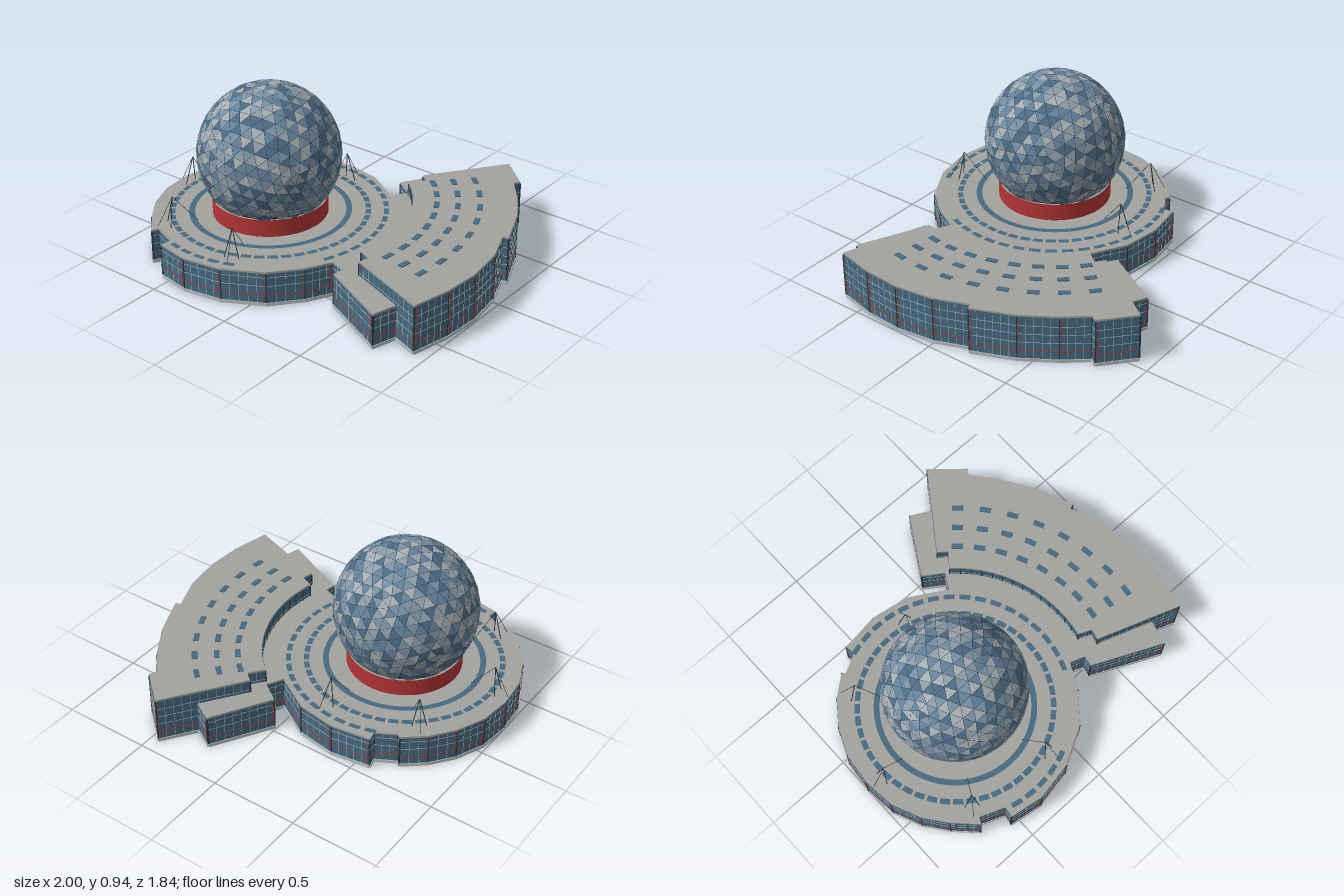
import * as THREE from 'three';
import { mergeGeometries } from 'three/addons/utils/BufferGeometryUtils.js';

const CX = -0.36, CZ = 0.22;              // centre of the round hall
const LOW = 0.2, HIGH = 0.28;             // roof heights
const BLUE = 0x45697f, ROOF = 0xa2a29e, RED = 0xb23434, PALE = 0xb4bcbe, DARK = 0x2c3a42;

const rad = THREE.MathUtils.degToRad;
const polar = (r, deg) => [CX + r * Math.cos(rad(deg)), CZ + r * Math.sin(rad(deg))];

function addMesh(group, name, geometry, color, options = {}) {
  const mesh = new THREE.Mesh(geometry, new THREE.MeshStandardMaterial({ color, ...options }));
  mesh.name = name;
  group.add(mesh);
  return mesh;
}

// Upright slab between two ground points
function bar(a, b, y0, y1, thickness) {
  const dx = b[0] - a[0], dz = b[1] - a[1];
  return new THREE.BoxGeometry(Math.hypot(dx, dz), y1 - y0, thickness)
    .rotateY(-Math.atan2(dz, dx))
    .translate((a[0] + b[0]) / 2, (y0 + y1) / 2, (a[1] + b[1]) / 2);
}

// Thin rod between two points in space
function rod(a, b, radius) {
  const from = new THREE.Vector3(...a), to = new THREE.Vector3(...b);
  return new THREE.TubeGeometry(new THREE.LineCurve3(from, to), 1, radius, 5);
}

// Flat roof slab from an [x, z] outline
function roofSlab(points, top) {
  const shape = new THREE.Shape(points.map(([x, z]) => new THREE.Vector2(x, -z)));
  return new THREE.ExtrudeGeometry(shape, { depth: 0.012, bevelEnabled: false })
    .rotateX(-Math.PI / 2).translate(0, top - 0.012, 0);
}

// Glazed facade along a path: plinth, glass, belts, mullions and corner posts
function facade(name, path, top) {
  const group = new THREE.Group();
  group.name = name;
  const glass = [], plinth = [], pale = [], red = [], dark = [];
  for (let i = 0; i < path.length - 1; i++) {
    const a = path[i], b = path[i + 1];
    const length = Math.hypot(b[0] - a[0], b[1] - a[1]);
    const at = t => [a[0] + (b[0] - a[0]) * t, a[1] + (b[1] - a[1]) * t];
    const post = (t, half, thickness) => {
      const k = half / length;
      return bar(at(t - k), at(t + k), 0.02, top - 0.012, thickness);
    };
    glass.push(bar(a, b, 0.015, top - 0.01, 0.004));
    plinth.push(bar(a, b, 0, 0.018, 0.012));
    red.push(bar(a, b, 0.063, 0.067, 0.008));
    for (let y = 0.115; y < top - 0.03; y += 0.05) pale.push(bar(a, b, y, y + 0.002, 0.007));
    const bays = Math.max(1, Math.round(length / 0.045));
    for (let j = 1; j < bays; j++) pale.push(post(j / bays, 0.001, 0.007));
    dark.push(post(0, 0.003, 0.01));
    if (length > 0.1) red.push(post(0.012 / length, 0.0015, 0.009));
  }
  addMesh(group, 'glassWalls', mergeGeometries(glass), BLUE);
  addMesh(group, 'plinth', mergeGeometries(plinth), PALE);
  addMesh(group, 'paleMullions', mergeGeometries(pale), PALE);
  addMesh(group, 'redTrim', mergeGeometries(red), RED);
  addMesh(group, 'cornerPosts', mergeGeometries(dark), DARK);
  return group;
}

// Curved skylight lying on the round roof
function arcStrip(r0, r1, startDeg, sweepDeg, y, segments) {
  return new THREE.RingGeometry(r0, r1, segments, 1, -rad(startDeg + sweepDeg), rad(sweepDeg))
    .rotateX(-Math.PI / 2).translate(CX, y, CZ);
}

// Faceted globe: separate triangular panels in several shades over a dark frame
function globe() {
  const group = new THREE.Group();
  group.name = 'globe';
  const R = 0.395, CY = 0.545, cut = 0.295 - CY;
  const shades = [0x4c6a82, 0x64809a, 0x7890a2, 0x8c9ca8, 0xa4adb2];
  const buckets = shades.map(() => []);
  const source = new THREE.IcosahedronGeometry(R, 6).rotateZ(0.2).rotateX(0.15).attributes.position;
  let seed = 11;
  const random = () => (seed = (seed * 16807) % 2147483647) / 2147483647;
  const corners = [0, 1, 2].map(() => new THREE.Vector3());
  const middle = new THREE.Vector3();
  for (let i = 0; i < source.count; i += 3) {
    corners.forEach((c, j) => c.fromBufferAttribute(source, i + j));
    middle.copy(corners[0]).add(corners[1]).add(corners[2]).divideScalar(3);
    const bucket = buckets[Math.floor(random() * shades.length)];
    if (middle.y < cut) continue;
    for (const c of corners) bucket.push(...c.lerp(middle, 0.05).toArray());
  }
  buckets.forEach((data, i) => {
    const g = new THREE.BufferGeometry();
    g.setAttribute('position', new THREE.Float32BufferAttribute(data, 3));
    g.computeVertexNormals();
    addMesh(group, 'globePanels' + (i + 1), g, shades[i], { flatShading: true, side: THREE.DoubleSide });
  });
  const inner = R - 0.005;
  addMesh(group, 'globeFrame',
    new THREE.SphereGeometry(inner, 48, 32, 0, Math.PI * 2, 0, Math.acos(cut / inner)), DARK);
  group.position.set(CX, CY, CZ);
  return group;
}

export function createModel() {
  const model = new THREE.Group();
  model.name = 'domedHall';

  // Outlines as [x, z] points
  const innerArc = [];
  for (let i = 0; i <= 14; i++) innerArc.push(polar(0.78, -50.4 + i * 62.8 / 14));
  const lowPath = [
    [0.78, 0.59], [0.74, 0.73], [0.35, 0.55], [0.36, 0.49], [0.275, 0.46], [0.2, 0.6],
    [0.07, 0.755], [-0.14, 0.87], [-0.36, 0.91], [-0.55, 0.88], [-0.54, 0.82], [-0.68, 0.765],
    [-0.7, 0.8], [-0.815, 0.685], [-0.91, 0.56], [-0.98, 0.4], [-1, 0.22], [-0.98, 0.04],
    [-0.91, -0.12], [-0.815, -0.245], [-0.7, -0.34], [-0.68, -0.325], [-0.57, -0.385],
    [-0.58, -0.44], [-0.36, -0.47], [-0.14, -0.435], [0.07, -0.31], [0.12, -0.4],
    [0.01, -0.475], [0.205, -0.8], [0.325, -0.735]];
  const wingPath = [
    ...innerArc, [0.475, 0.42], [0.46, 0.48], [0.927, 0.645], [0.975, 0.43], [0.99, 0.22],
    [0.96, 0], [0.887, -0.19], [0.917, -0.2], [0.82, -0.43], [0.705, -0.61], [0.6, -0.735],
    [0.62, -0.77], [0.45, -0.92], [0.15, -0.5], [0.2, -0.46]];

  // Walls, open underneath
  model.add(facade('roundHallWalls', lowPath, LOW));
  model.add(facade('fanWingWalls', [...wingPath, wingPath[0]], HIGH));

  // Roofs
  const lowRoof = [...lowPath, [0.15, -0.5], [0.2, -0.46], ...innerArc, [0.475, 0.42], [0.46, 0.48]];
  addMesh(model, 'roundHallRoof', roofSlab(lowRoof, LOW), ROOF);
  addMesh(model, 'fanWingRoof', roofSlab(wingPath, HIGH), ROOF);

  // Ring skylights on the round roof
  const strips = [arcStrip(0.415, 0.447, 0, 360, LOW + 0.003, 96)];
  for (let i = 0; i < 48; i++) strips.push(arcStrip(0.522, 0.552, i * 7.5, 5.8, LOW + 0.003, 2));
  for (let deg = -110; deg < 104; deg += 8) {
    if (deg > 22 && deg < 66) continue;
    strips.push(arcStrip(0.622, 0.65, deg, 5.6, LOW + 0.003, 2));
  }
  addMesh(model, 'ringSkylights', mergeGeometries(strips), BLUE, { side: THREE.DoubleSide });

  // Rows of skylights on the fan wing
  const lights = [];
  for (let row = 0; row < 8; row++) {
    const deg = 8 - row * 7.9;
    for (const r of [0.91, 1.025, 1.145]) {
      const [x, z] = polar(r, deg);
      lights.push(new THREE.BoxGeometry(0.03, 0.006, 0.064).rotateY(-rad(deg)).translate(x, HIGH + 0.002, z));
    }
  }
  addMesh(model, 'wingSkylights', mergeGeometries(lights), BLUE);

  // Red collar and globe
  const collar = new THREE.CylinderGeometry(0.318, 0.318, 0.11, 64, 1, true).translate(CX, 0.245, CZ);
  addMesh(model, 'collar', collar, RED, { side: THREE.DoubleSide });
  model.add(globe());

  // Cable masts around the roof
  const rods = [];
  for (let i = 0; i < 5; i++) {
    const deg = 70 + i * 53;
    const point = (r, offset, y) => {
      const [x, z] = polar(r, deg + offset);
      return [x, y, z];
    };
    const apex = point(0.545, 0, 0.365);
    rods.push(rod(point(0.57, 4, LOW), apex, 0.0025), rod(point(0.57, -4, LOW), apex, 0.0025),
      rod(point(0.63, 0, LOW), apex, 0.0015), rod(point(0.41, 0, LOW), apex, 0.0015));
  }
  addMesh(model, 'cableMasts', mergeGeometries(rods), DARK);

  return model;
}
